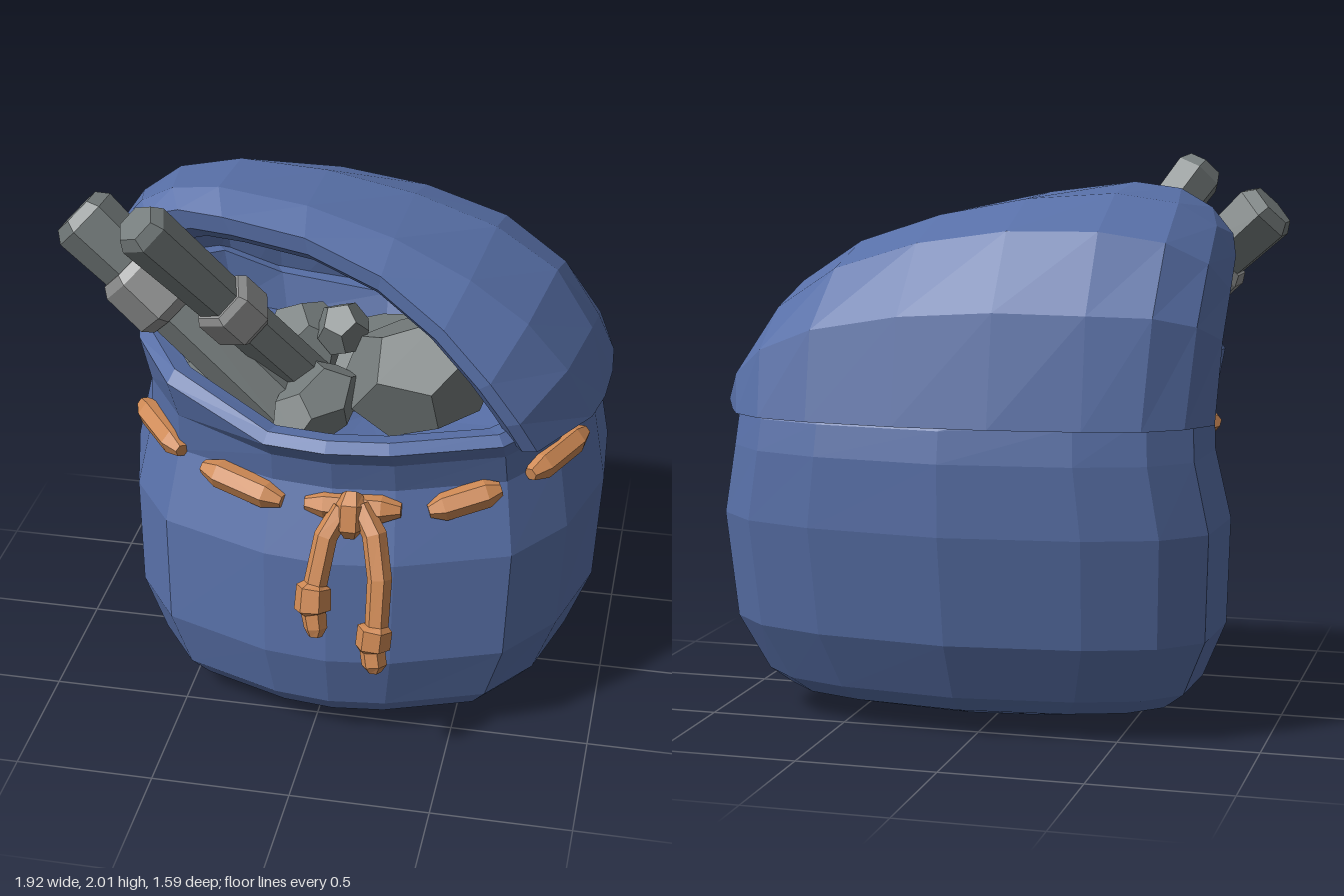
import * as THREE from 'three';

const V = (x, y, z) => new THREE.Vector3(x, y, z);
const mat = (name, color) => {
  const m = new THREE.MeshStandardMaterial({ color, flatShading: true });
  m.name = name;
  return m;
};

// Skin a list of closed loops with flat-shaded faces
function loft(loops) {
  const pos = [];
  const put = (...pts) => pts.forEach((p) => pos.push(p.x, p.y, p.z));
  for (let i = 0; i + 1 < loops.length; i++) {
    const lo = loops[i], hi = loops[i + 1], n = lo.length;
    for (let j = 0; j < n; j++) {
      const k = (j + 1) % n;
      put(lo[j], lo[k], hi[k], lo[j], hi[k], hi[j]);
    }
  }
  const g = new THREE.BufferGeometry();
  g.setAttribute('position', new THREE.Float32BufferAttribute(pos, 3));
  g.computeVertexNormals();
  return g;
}

// Polygonal rod along a path with a radius at each point and closed ends
function rod(path, radii, sides = 6) {
  const last = path.length - 1;
  const along = path[last].clone().sub(path[0]).normalize();
  const ref = Math.abs(along.x) < 0.4 ? V(1, 0, 0) : V(0, 0, 1);
  const loops = path.map((p, i) => {
    const t = path[Math.min(i + 1, last)].clone().sub(path[Math.max(i - 1, 0)]).normalize();
    const s = t.clone().cross(ref).normalize();
    const u = t.clone().cross(s);
    return Array.from({ length: sides }, (_, k) => {
      const a = ((k + 0.5) / sides) * Math.PI * 2;
      return p.clone().addScaledVector(s, Math.cos(a) * radii[i]).addScaledVector(u, Math.sin(a) * radii[i]);
    });
  });
  const cap = (p) => Array(sides).fill(p);
  return loft([cap(path[0]), ...loops, cap(path[last])]);
}

const between = (a, b, ts) => ts.map((t) => a.clone().lerp(b, t));

export function createModel() {
  const model = new THREE.Group();
  const blue = mat('blue cloth', 0x5870a8);
  const orange = mat('orange cord', 0xcf8a55);
  const stone = mat('grey stone', 0x747b7b);
  const pale = mat('pale grey band', 0x929393);
  const add = (name, geo, material) => {
    const m = new THREE.Mesh(geo, material);
    m.name = name;
    model.add(m);
    return m;
  };

  // Pouch outline seen from above, half of it mirrored
  const half = [[0.26, 0.96], [0.7, 0.75], [0.89, 0.41], [1, -0.11], [0.98, -0.6], [0.82, -0.8], [0.54, -0.92]];
  const outline = [[0, 1], ...half, [0, -1], ...half.map(([x, z]) => [-x, z]).reverse()];

  // Pouch levels: y, left and right x, back and front z, amount of rim rise
  const levels = [
    [0.005, 0.07, 0.07, -0.05, -0.05, 0],
    [0.035, -0.4, 0.54, -0.36, 0.4, 0],
    [0.085, -0.64, 0.78, -0.52, 0.57, 0],
    [0.15, -0.72, 0.85, -0.6, 0.62, 0],
    [0.36, -0.81, 0.94, -0.71, 0.67, 0],
    [0.75, -0.83, 0.96, -0.78, 0.64, 0],
    [1.0, -0.78, 0.91, -0.78, 0.54, 0],
    [1.11, -0.77, 0.9, -0.76, 0.56, 0.3],
    [1.17, -0.8, 0.9, -0.73, 0.6, 0.9],
    [1.2, -0.77, 0.87, -0.7, 0.56, 1],
    [1.19, -0.71, 0.81, -0.65, 0.49, 0.95],
    [1.08, -0.66, 0.76, -0.6, 0.44, 0.5],
    [0.95, 0.07, 0.07, -0.1, -0.1, 0],
  ];
  add('pouch', loft(levels.map(([y, x0, x1, z0, z1, rise]) => outline.map(([u, w]) => {
    const x = (x0 + x1) / 2 + (u * (x1 - x0)) / 2;
    const lift = 0.2 * THREE.MathUtils.clamp((-u - 0.35) / 0.5, 0, 1);
    return V(x, y + rise * lift, (z0 + z1) / 2 + (w * (z1 - z0)) / 2);
  }))), blue);

  // Flap rows from the back seam over the top to the front lip, left to right
  const rows = [
    [[-0.82, 1.12, -0.45], [-0.69, 1.12, -0.64], [-0.42, 1.12, -0.73], [0.06, 1.12, -0.775], [0.55, 1.12, -0.73], [0.82, 1.12, -0.63], [0.92, 1.12, -0.47]],
    [[-0.83, 1.4, -0.37], [-0.72, 1.48, -0.58], [-0.42, 1.5, -0.67], [0.06, 1.5, -0.7], [0.55, 1.43, -0.67], [0.84, 1.3, -0.56], [0.95, 1.15, -0.42]],
    [[-0.83, 1.56, -0.22], [-0.73, 1.7, -0.41], [-0.42, 1.77, -0.49], [0.06, 1.75, -0.5], [0.52, 1.63, -0.49], [0.84, 1.4, -0.4], [0.96, 1.14, -0.26]],
    [[-0.82, 1.67, -0.06], [-0.72, 1.82, -0.16], [-0.42, 1.89, -0.22], [0.06, 1.84, -0.22], [0.52, 1.71, -0.2], [0.83, 1.47, -0.18], [0.95, 1.13, -0.08]],
    [[-0.79, 1.74, 0.06], [-0.66, 1.87, 0.1], [-0.42, 1.92, 0.12], [0.06, 1.84, 0.14], [0.48, 1.67, 0.18], [0.77, 1.44, 0.18], [0.92, 1.14, 0.1]],
    [[-0.77, 1.73, 0.12], [-0.62, 1.84, 0.18], [-0.38, 1.86, 0.24], [0.06, 1.77, 0.27], [0.42, 1.57, 0.38], [0.66, 1.33, 0.45], [0.76, 1.15, 0.41]],
  ];
  const core = V(0.05, 1.12, -0.1);
  const flap = rows.map((row, i) => {
    const outer = new THREE.CatmullRomCurve3(row.map((p) => V(...p))).getPoints(9);
    const inner = outer.map((p) => p.clone().lerp(core, i < 5 ? 0.1 : 0.15));
    return [...outer.reverse(), ...inner];
  });
  // Rounded fold closing the lip
  const edge = flap[flap.length - 1];
  flap.push(edge.map((p, k) => p.clone().lerp(edge[edge.length - 1 - k], 0.5).add(V(0, -0.01, 0.025))));
  add('flap', loft(flap), blue);

  // Cord stitches around the neck
  const stitches = [
    [[-0.72, 1.05, 0.15], [-0.51, 1.01, 0.4]],
    [[-0.42, 0.985, 0.45], [-0.11, 0.935, 0.55]],
    [[0.4, 0.925, 0.5], [0.64, 0.99, 0.41]],
    [[0.73, 1.0, 0.31], [0.89, 1.04, 0.03]],
    [[-0.03, 0.94, 0.55], [0.31, 0.94, 0.54]],
  ];
  stitches.forEach(([a, b]) => add('cordStitch',
    rod(between(V(...a), V(...b), [0, 0.2, 0.8, 1]), [0.025, 0.052, 0.052, 0.025]), orange));

  // Bow knot and its two hanging ends, each with a small knot
  add('cordKnot', rod([V(0.14, 0.995, 0.55), V(0.14, 0.965, 0.58), V(0.14, 0.89, 0.6), V(0.14, 0.86, 0.59)],
    [0.035, 0.055, 0.055, 0.035]), orange);
  add('cordEndRight', rod([V(0.11, 0.95, 0.58), V(0.06, 0.86, 0.63), V(0.035, 0.7, 0.69), V(0.03, 0.69, 0.695),
    V(0.03, 0.61, 0.72), V(0.035, 0.6, 0.725), V(0.045, 0.55, 0.74), V(0.045, 0.52, 0.75)],
  [0.04, 0.042, 0.042, 0.062, 0.066, 0.045, 0.042, 0.025]), orange);
  add('cordEndLeft', rod([V(0.17, 0.96, 0.57), V(0.23, 0.88, 0.62), V(0.26, 0.74, 0.68), V(0.26, 0.58, 0.73),
    V(0.255, 0.57, 0.735), V(0.25, 0.5, 0.75), V(0.25, 0.49, 0.755), V(0.26, 0.44, 0.77), V(0.26, 0.415, 0.775)],
  [0.04, 0.044, 0.044, 0.042, 0.062, 0.062, 0.045, 0.045, 0.025]), orange);

  // Stone rods leaning out of the mouth, each with a pale band
  const rods = [
    [[-0.905, 1.835, 0.23], [-0.15, 1.13, 0.27], 0.125, 0.36, 0.115],
    [[-0.59, 1.965, 0.575], [-0.05, 1.16, 0.13], 0.1, 0.5, 0.08],
  ];
  rods.forEach(([a, b, r, t, w]) => {
    const tip = V(...a), foot = V(...b);
    add('stoneRod', rod(between(tip, foot, [0, 0.04, t, 1]), [r * 0.75, r, r * 0.88, r * 0.85]), stone);
    add('rodBand', rod(between(tip, foot, [t - w, t - w * 0.7, t + w * 0.7, t + w]),
      [r * 1.0, r * 1.2, r * 1.2, r * 0.95]), pale);
  });

  // Loose stones filling the mouth: position, size, turn
  const stones = [
    [0.3, 1.26, 0.12, 0.29, 0.22, 0.24, 0.4],
    [-0.04, 1.2, 0.3, 0.2, 0.12, 0.14, 1.1],
    [0.01, 1.38, 0.06, 0.1, 0.11, 0.1, 0.2],
    [-0.14, 1.3, 0.0, 0.16, 0.13, 0.15, 2.0],
    [-0.4, 1.17, 0.15, 0.2, 0.15, 0.2, 0.7],
    [0.1, 1.12, -0.2, 0.45, 0.14, 0.25, 0.1],
  ];
  stones.forEach(([x, y, z, sx, sy, sz, turn]) => {
    const m = add('looseStone', new THREE.DodecahedronGeometry(1, 0), stone);
    m.position.set(x, y, z);
    m.scale.set(sx, sy, sz);
    m.rotation.set(0.2, turn, 0.15);
  });
  return model;
}
